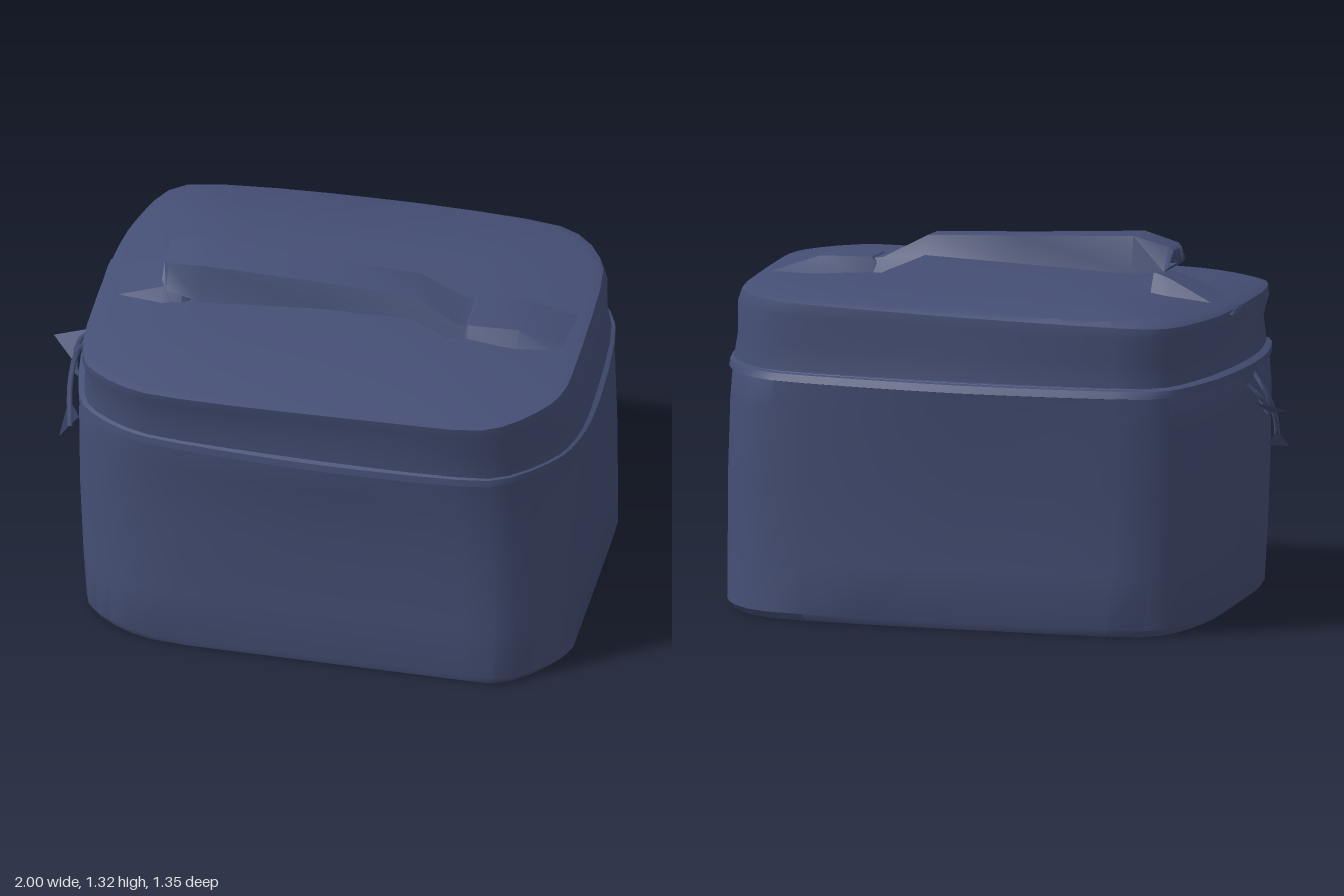
import * as THREE from 'three';
import { toCreasedNormals } from 'three/addons/utils/BufferGeometryUtils.js';

const navyFabric = new THREE.MeshStandardMaterial({ color: 0x454f75, side: THREE.DoubleSide });
navyFabric.name = 'navyFabric';

// Plan outline of the bag, scaled to -1..1 on both axes
const outline = new THREE.CatmullRomCurve3([
  [1, 0.28], [0.94, 0.66], [0.7, 0.96], [0.05, 1], [-0.66, 0.95], [-0.93, 0.74], [-1, 0.3],
  [-0.99, -0.15], [-0.94, -0.55], [-0.78, -0.92], [-0.04, -1], [0.73, -0.91], [0.96, -0.57],
].map(([x, z]) => new THREE.Vector3(x, 0, z)), true, 'catmullrom', 0.35).getPoints(52).slice(0, 52);

// Skin a list of closed rings (arrays of points); rings run from bottom to top
function skin(rings, crease = 0.6) {
  const n = rings[0].length, index = [];
  for (let i = 0; i < rings.length - 1; i++) {
    for (let j = 0; j < n; j++) {
      const a = i * n + j, b = i * n + (j + 1) % n;
      index.push(a, a + n, b, b, a + n, b + n);
    }
  }
  const geometry = new THREE.BufferGeometry();
  geometry.setAttribute('position', new THREE.Float32BufferAttribute(rings.flat(2), 3));
  geometry.setIndex(index);
  geometry.computeVertexNormals();
  return toCreasedNormals(geometry, crease);
}

// Each level is [y, xMin, xMax, zMin, zMax, corner, tiltX, tiltZ]; corner squares off the plan
function loft(levels) {
  return skin(levels.map(([y, x0, x1, z0, z1, corner = 0, tx = 0, tz = 0]) => outline.map((p) => {
    const push = 1 + corner * Math.abs(p.x * p.z);
    const px = THREE.MathUtils.clamp(p.x * push, -1, 1);
    const pz = THREE.MathUtils.clamp(p.z * push, -1, 1);
    return [(x0 + x1 + px * (x1 - x0)) / 2, y + tx * px + tz * pz, (z0 + z1 + pz * (z1 - z0)) / 2];
  })));
}

export function createModel() {
  const model = new THREE.Group();
  model.name = 'coolerBag';
  const add = (name, geometry) => {
    const mesh = new THREE.Mesh(geometry, navyFabric);
    mesh.name = name;
    model.add(mesh);
  };

  // Main compartment with a closed base
  add('body', loft([
    [0.01, 0.1, 0.1, 0, 0],
    [0.005, -0.76, 0.955, -0.62, 0.635, 0.06],
    [0.03, -0.77, 0.97, -0.63, 0.64, 0.07],
    [0.22, -0.79, 0.975, -0.62, 0.625, 0.06],
    [0.5, -0.815, 0.98, -0.635, 0.62, 0.04],
    [0.75, -0.835, 0.985, -0.655, 0.63, 0.01],
    [0.86, -0.84, 0.99, -0.672, 0.655, -0.02],
    [0.89, -0.82, 0.985, -0.645, 0.65, -0.01],
  ]));

  // Raised zip seam around the mouth
  add('zipSeam', loft([
    [0.85, -0.82, 0.98, -0.64, 0.645, -0.01],
    [0.86, -0.845, 1.0, -0.678, 0.67, -0.015],
    [0.885, -0.845, 1.0, -0.662, 0.665, -0.015],
    [0.895, -0.82, 0.98, -0.62, 0.64, -0.01],
  ]));

  // Soft lid, slightly pinched at its waist, rising towards the back
  add('lid', loft([
    [0.87, -0.82, 0.985, -0.635, 0.65, 0],
    [0.98, -0.8, 0.965, -0.615, 0.645, 0.01],
    [1.07, -0.805, 0.955, -0.62, 0.66, 0.03, 0.015, -0.01],
    [1.11, -0.8, 0.94, -0.615, 0.665, 0.03, 0.02, -0.01],
    [1.122, -0.77, 0.91, -0.59, 0.63, 0.03, 0.015, -0.015],
    [1.147, -0.4, 0.55, -0.3, 0.33, 0, 0.005],
    [1.152, 0.07, 0.07, 0.01, 0.01],
  ]));

  // Strap sections are [x, bottom back z, top back z, top front z, bottom front z, top y, bottom y]
  const strap = (sections) => skin(sections.map(([x, b0, b1, f1, f0, top, bottom]) => [
    [x, bottom, f0], [x, top - 0.01, f1], [x, top, b1], [x, bottom + 0.01, b0],
  ]), 0.5);

  // Folded grip rising from the lid on the left and running down to the right
  add('handleGrip', strap([
    [-0.56, -0.08, -0.01, 0.1, 0.15, 1.28, 1.22],
    [-0.54, -0.07, -0.01, 0.13, 0.18, 1.29, 1.2],
    [-0.41, -0.03, 0.0, 0.16, 0.2, 1.32, 1.18],
    [0.0, -0.02, 0.01, 0.14, 0.17, 1.3, 1.195],
    [0.34, -0.03, 0.01, 0.14, 0.18, 1.285, 1.21],
    [0.5, -0.05, 0.0, 0.15, 0.19, 1.2, 1.14],
    [0.56, -0.06, 0.0, 0.15, 0.19, 1.19, 1.12],
  ]));

  // Padded mounds where the strap is stitched to the lid
  add('rightHandleMount', strap([
    [0.46, -0.04, 0.02, 0.13, 0.18, 1.14, 1.11],
    [0.54, -0.07, -0.01, 0.15, 0.2, 1.2, 1.12],
    [0.72, -0.11, -0.03, 0.14, 0.21, 1.2, 1.12],
    [0.92, -0.12, -0.06, 0.12, 0.18, 1.13, 1.1],
  ]));
  add('leftHandleMount', strap([
    [-0.8, -0.12, -0.06, 0.12, 0.18, 1.09, 1.07],
    [-0.56, -0.1, -0.04, 0.12, 0.18, 1.18, 1.1],
    [-0.49, -0.08, -0.02, 0.12, 0.17, 1.2, 1.1],
    [-0.45, -0.06, 0.0, 0.1, 0.15, 1.14, 1.1],
  ]));

  // Zip pulls and short cords hanging on the narrow side
  const cord = (points, radius) => new THREE.TubeGeometry(
    new THREE.CatmullRomCurve3(points.map((p) => new THREE.Vector3(...p))), 8, radius, 4);
  add('zipCord', cord([[-0.83, 0.85, 0.05], [-0.89, 0.77, 0.03], [-0.9, 0.68, 0.1], [-0.88, 0.57, 0.2]], 0.01));
  add('zipLoop', cord([[-0.84, 0.82, -0.06], [-0.9, 0.76, -0.04], [-0.89, 0.7, 0.05], [-0.84, 0.74, 0.12]], 0.01));

  const tab = (name, corners) => {
    const g = new THREE.BufferGeometry();
    g.setAttribute('position', new THREE.Float32BufferAttribute(corners.flat(), 3));
    g.computeVertexNormals();
    add(name, g);
  };
  tab('upperPull', [[-1.0, 0.74, -0.09], [-0.88, 0.77, -0.11], [-0.9, 0.71, 0.02]]);
  tab('lowerPull', [[-0.91, 0.55, 0.24], [-0.86, 0.57, 0.14], [-0.9, 0.63, 0.12]]);

  return model;
}
